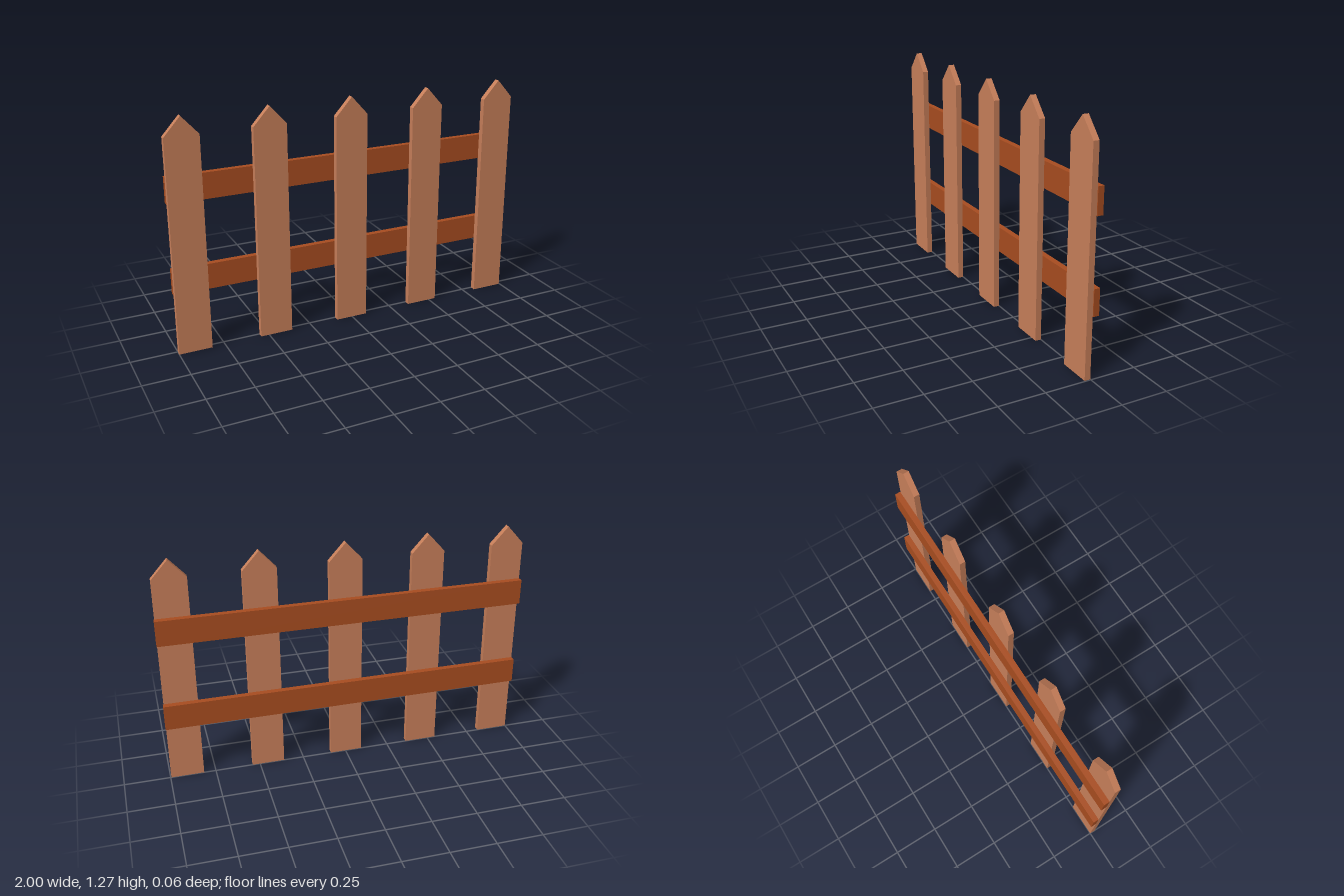
import * as THREE from 'three';

const WIDTH = 0.18, SHOULDER = 1.17, PEAK = 1.27, DEPTH = 0.032;

export function createModel() {
  const fence = new THREE.Group();
  fence.name = 'picketFence';

  const picketMaterial = new THREE.MeshStandardMaterial({ color: 0xc87f5a, flatShading: true });
  const railMaterial = new THREE.MeshStandardMaterial({ color: 0xa84d20, flatShading: true });

  // Pointed board outline, extruded forward from z = 0
  const outline = new THREE.Shape([
    new THREE.Vector2(-WIDTH / 2, 0),
    new THREE.Vector2(WIDTH / 2, 0),
    new THREE.Vector2(WIDTH / 2, SHOULDER),
    new THREE.Vector2(0, PEAK),
    new THREE.Vector2(-WIDTH / 2, SHOULDER),
  ]);
  const picketGeometry = new THREE.ExtrudeGeometry(outline, { depth: DEPTH, bevelEnabled: false });

  // Five evenly spaced pickets, the last a hair short of the rail ends
  for (let i = 0; i < 5; i++) {
    const picket = new THREE.Mesh(picketGeometry, picketMaterial);
    picket.name = `picket${i + 1}`;
    picket.position.x = -0.91 + i * 0.4538;
    fence.add(picket);
  }

  // Two rails behind the pickets
  const railGeometry = new THREE.BoxGeometry(2, 0.14, DEPTH);
  for (const [name, y] of [['lowerRail', 0.397], ['upperRail', 0.891]]) {
    const rail = new THREE.Mesh(railGeometry, railMaterial);
    rail.name = name;
    rail.position.set(0, y, -DEPTH / 2);
    fence.add(rail);
  }

  return fence;
}
